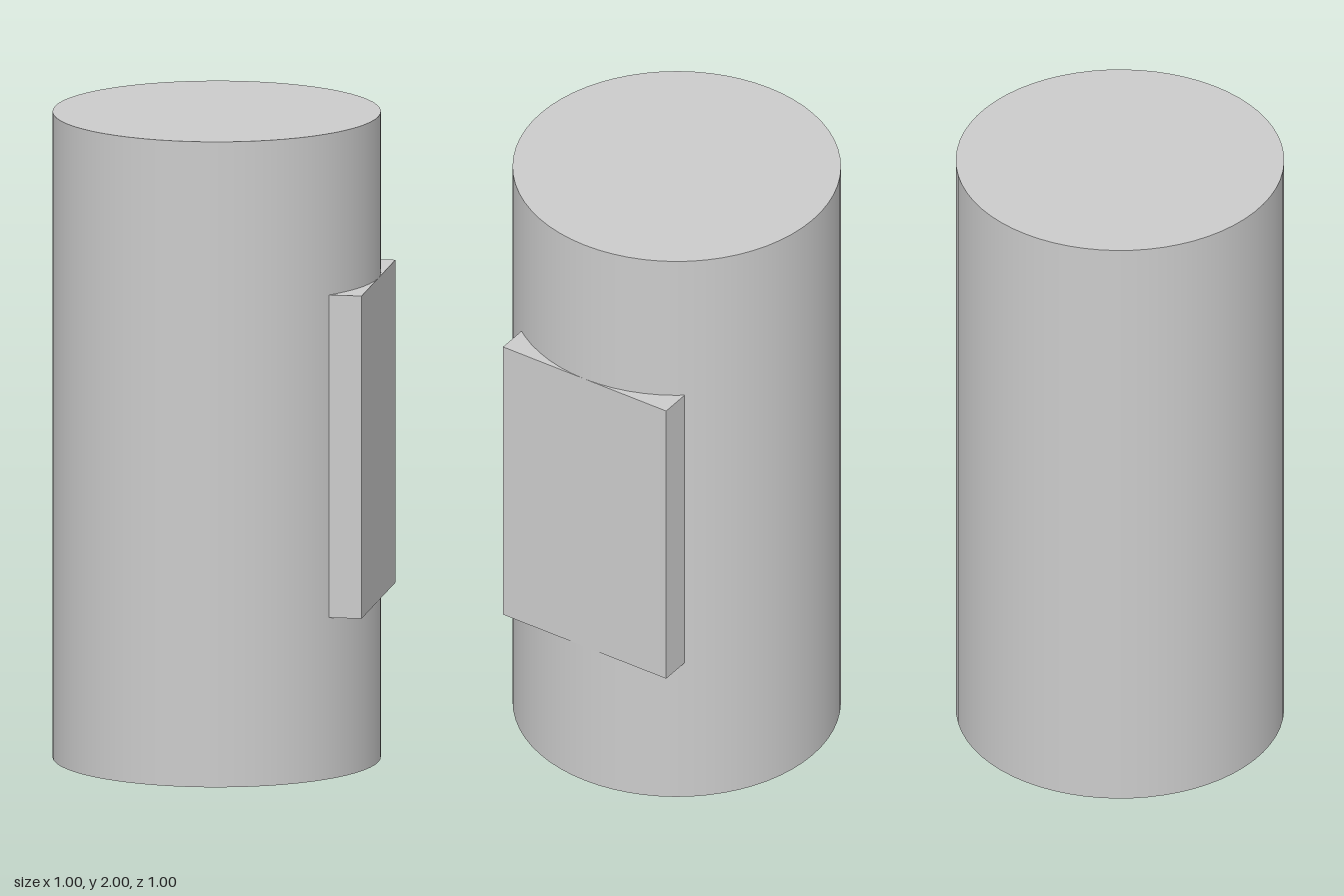
import * as THREE from 'three';

export function createModel() {
  const group = new THREE.Group();
  const material = new THREE.MeshStandardMaterial({ color: 0xcccccc });

  const add = (name, geometry, x, y, z) => {
    const mesh = new THREE.Mesh(geometry, material);
    mesh.name = name;
    mesh.position.set(x, y, z);
    group.add(mesh);
  };

  // Upright round body with closed ends
  add('body', new THREE.CylinderGeometry(0.5, 0.5, 2, 64), 0, 1, 0);

  // Flat panel on the left side, sunk into the body, its face tangent to the wall
  add('sidePanel', new THREE.BoxGeometry(0.2, 1, 0.6), 0.4, 1, 0);

  return group;
}
